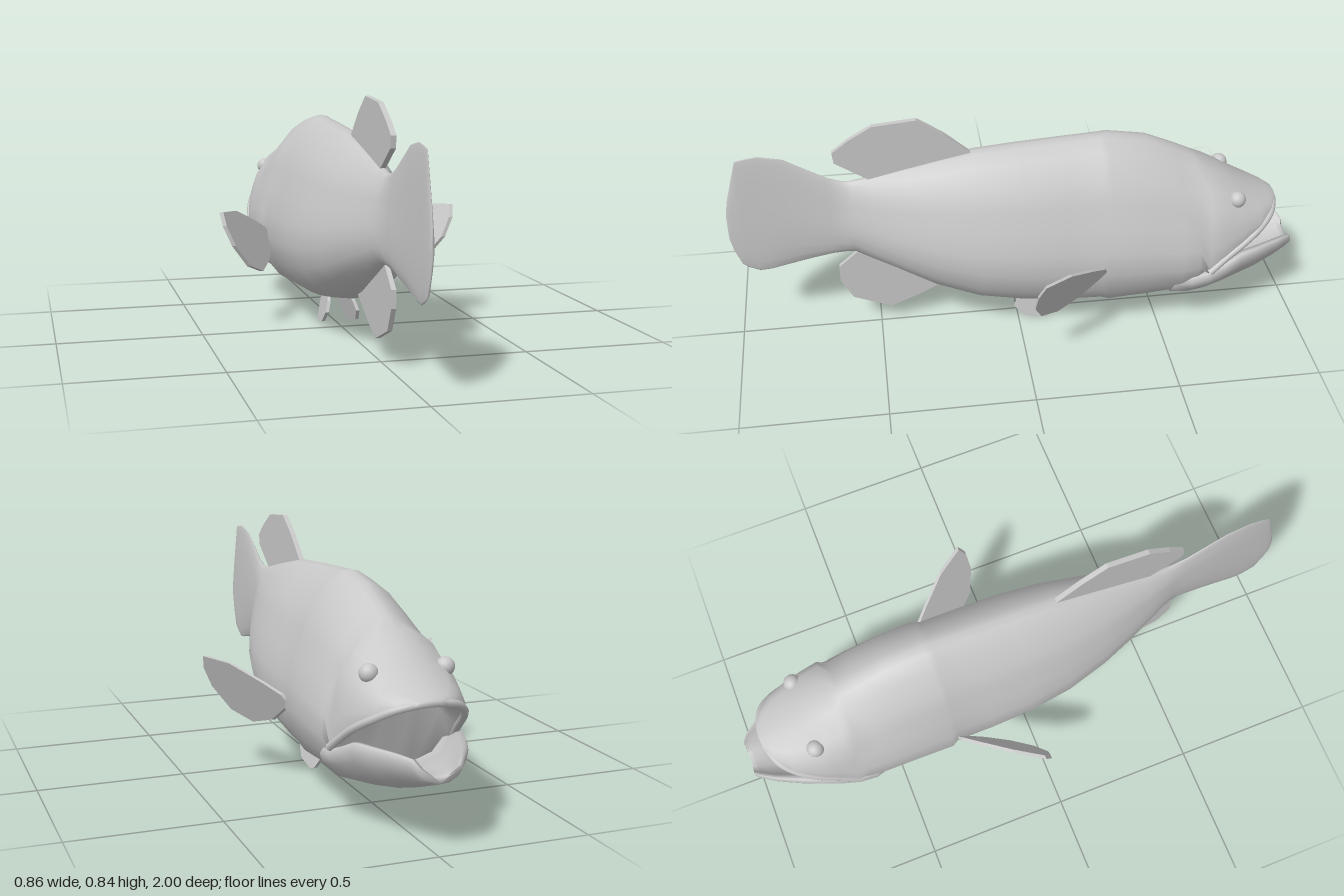
import * as THREE from 'three';

const skin = new THREE.MeshStandardMaterial({ color: 0xc8c8c8 });
skin.name = 'paleGreySkin';

// Half cross-sections [x / halfWidth, height fraction], bottom centre to top centre
const TRUNK = [[0, 0], [0.35, 0.015], [0.7, 0.09], [0.9, 0.19], [1, 0.32], [0.97, 0.45],
  [0.86, 0.58], [0.73, 0.71], [0.6, 0.82], [0.33, 0.94], [0.12, 0.99], [0, 1]];
const SNOUT = [[0, 0.45], [0.4, 0.4], [0.75, 0.25], [0.9, 0.05], [0.97, 0], [1, 0.08],
  [0.98, 0.25], [0.92, 0.45], [0.82, 0.65], [0.62, 0.84], [0.27, 0.97], [0, 1]];
const JAW = [[0, 0], [0.4, 0.04], [0.75, 0.25], [0.95, 0.6], [1, 0.85], [0.95, 1],
  [0.82, 0.98], [0.7, 0.6], [0.35, 0.4], [0, 0.36]];

// Skin a row of mirrored sections [z, top, bottom, halfWidth, profile], ordered by rising z
function loft(name, stations) {
  const pos = [], idx = [];
  let n = 0;
  for (const [z, top, bottom, w, profile] of stations) {
    const right = profile.map(([x, t]) => [x * w, bottom + t * (top - bottom)]);
    const left = right.slice(1, -1).reverse().map(([x, y]) => [-x, y]);
    const ring = [...right, ...left];
    n = ring.length;
    for (const [x, y] of ring) pos.push(x, y, z);
  }
  for (let s = 0; s < stations.length - 1; s++) {
    for (let i = 0; i < n; i++) {
      const a = s * n + i, b = s * n + (i + 1) % n;
      idx.push(a, b, b + n, a, b + n, a + n);
    }
  }
  const last = (stations.length - 1) * n;
  for (let i = 1; i < n - 1; i++) {
    idx.push(0, i + 1, i, last, last + i, last + i + 1);
  }
  const geo = new THREE.BufferGeometry();
  geo.setAttribute('position', new THREE.Float32BufferAttribute(pos, 3));
  geo.setIndex(idx);
  geo.computeVertexNormals();
  const mesh = new THREE.Mesh(geo, skin);
  mesh.name = name;
  return mesh;
}

// Thin fin from a [z, y] outline; lean(z, y) gives its sideways offset
function fin(name, outline, thickness, lean = () => 0) {
  const shape = new THREE.Shape(outline.map(([z, y]) => new THREE.Vector2(z, y)));
  const geo = new THREE.ExtrudeGeometry(shape, { depth: thickness, bevelEnabled: false });
  geo.translate(0, 0, -thickness / 2);
  geo.rotateY(-Math.PI / 2);
  const p = geo.attributes.position;
  for (let i = 0; i < p.count; i++) p.setX(i, p.getX(i) + lean(p.getZ(i), p.getY(i)));
  geo.computeVertexNormals();
  const mesh = new THREE.Mesh(geo, skin);
  mesh.name = name;
  return mesh;
}

export function createModel() {
  const fish = new THREE.Group();
  fish.name = 'fish';

  // Upper head, trunk and tail fin in one skin, with a step behind the gill covers
  const head = [
    [-0.93, 0.452, 0.436, 0.05], [-0.9, 0.467, 0.418, 0.105], [-0.85, 0.492, 0.383, 0.153],
    [-0.78, 0.535, 0.345, 0.183], [-0.72, 0.578, 0.3, 0.2], [-0.66, 0.612, 0.25, 0.212],
  ].map((s) => [...s, SNOUT]);
  const trunk = [
    [-0.62, 0.638, 0.125, 0.222], [-0.56, 0.668, 0.108, 0.227], [-0.45, 0.717, 0.094, 0.229],
    [-0.31, 0.74, 0.083, 0.23], [-0.285, 0.738, 0.084, 0.214], [-0.15, 0.73, 0.092, 0.216],
    [0, 0.72, 0.11, 0.213], [0.15, 0.708, 0.135, 0.195], [0.3, 0.677, 0.19, 0.158],
    [0.4, 0.655, 0.243, 0.124], [0.5, 0.632, 0.295, 0.085], [0.57, 0.62, 0.333, 0.055],
    [0.6, 0.622, 0.333, 0.042], [0.65, 0.64, 0.326, 0.028], [0.79, 0.726, 0.296, 0.018],
    [0.87, 0.743, 0.278, 0.014], [0.91, 0.738, 0.275, 0.012], [0.947, 0.73, 0.292, 0.01],
    [0.968, 0.655, 0.308, 0.009], [0.99, 0.575, 0.37, 0.007], [1, 0.52, 0.42, 0.006],
  ].map((s) => [...s, TRUNK]);
  fish.add(loft('body', [...head, ...trunk]));

  // Lower jaw with a hollow floor
  fish.add(loft('lowerJaw', [
    [-1, 0.275, 0.227, 0.068], [-0.98, 0.3, 0.215, 0.088], [-0.93, 0.307, 0.196, 0.122],
    [-0.85, 0.306, 0.166, 0.16], [-0.78, 0.304, 0.15, 0.188], [-0.72, 0.276, 0.136, 0.205],
    [-0.66, 0.252, 0.125, 0.217], [-0.6, 0.24, 0.114, 0.218], [-0.54, 0.22, 0.11, 0.195],
  ].map((s) => [...s, JAW])));

  // Upper lip running round the snout
  const half = [[0.21, 0.258, -0.66], [0.195, 0.305, -0.72], [0.178, 0.35, -0.785],
    [0.146, 0.39, -0.85], [0.095, 0.425, -0.9]];
  const lipPath = [...half, [0, 0.442, -0.922], ...half.slice().reverse().map(([x, y, z]) => [-x, y, z])];
  const lip = new THREE.Mesh(new THREE.TubeGeometry(
    new THREE.CatmullRomCurve3(lipPath.map((p) => new THREE.Vector3(...p))), 40, 0.013, 8), skin);
  lip.name = 'upperLip';
  fish.add(lip);

  // Fins on the centre line
  fish.add(fin('dorsalFin', [[0.155, 0.7], [0.25, 0.785], [0.337, 0.845], [0.487, 0.832],
    [0.567, 0.785], [0.625, 0.74], [0.62, 0.7], [0.5, 0.62], [0.3, 0.62]], 0.018));
  fish.add(fin('analFin', [[0.25, 0.17], [0.36, 0.113], [0.46, 0.07], [0.594, 0.125],
    [0.636, 0.205], [0.636, 0.265], [0.556, 0.335], [0.4, 0.32]], 0.016));

  // Paired fins and eyes
  for (const [side, s] of [['left', 1], ['right', -1]]) {
    fish.add(fin(side + 'PectoralFin', [[-0.29, 0.3], [-0.278, 0.33], [-0.225, 0.365], [-0.134, 0.415],
      [-0.04, 0.425], [-0.016, 0.38], [-0.01, 0.31], [-0.04, 0.23], [-0.107, 0.197],
      [-0.19, 0.222], [-0.267, 0.28]], 0.014,
    (z, y) => s * (0.225 + 0.622 * (z + 0.278) + 0.491 * (y - 0.325))));
    fish.add(fin(side + 'PelvicFin', [[-0.17, 0.1], [-0.15, 0.05], [-0.123, 0.012], [-0.1, 0.002],
      [-0.02, 0.02], [0.015, 0.06], [0, 0.095], [-0.06, 0.12]], 0.012,
    (z, y) => s * (0.035 + 0.25 * (0.1 - y) + 0.12 * (z + 0.08))));
    const eye = new THREE.Mesh(new THREE.SphereGeometry(0.03, 16, 12), skin);
    eye.name = side + 'Eye';
    eye.position.set(s * 0.125, 0.505, -0.76);
    fish.add(eye);
  }
  return fish;
}
